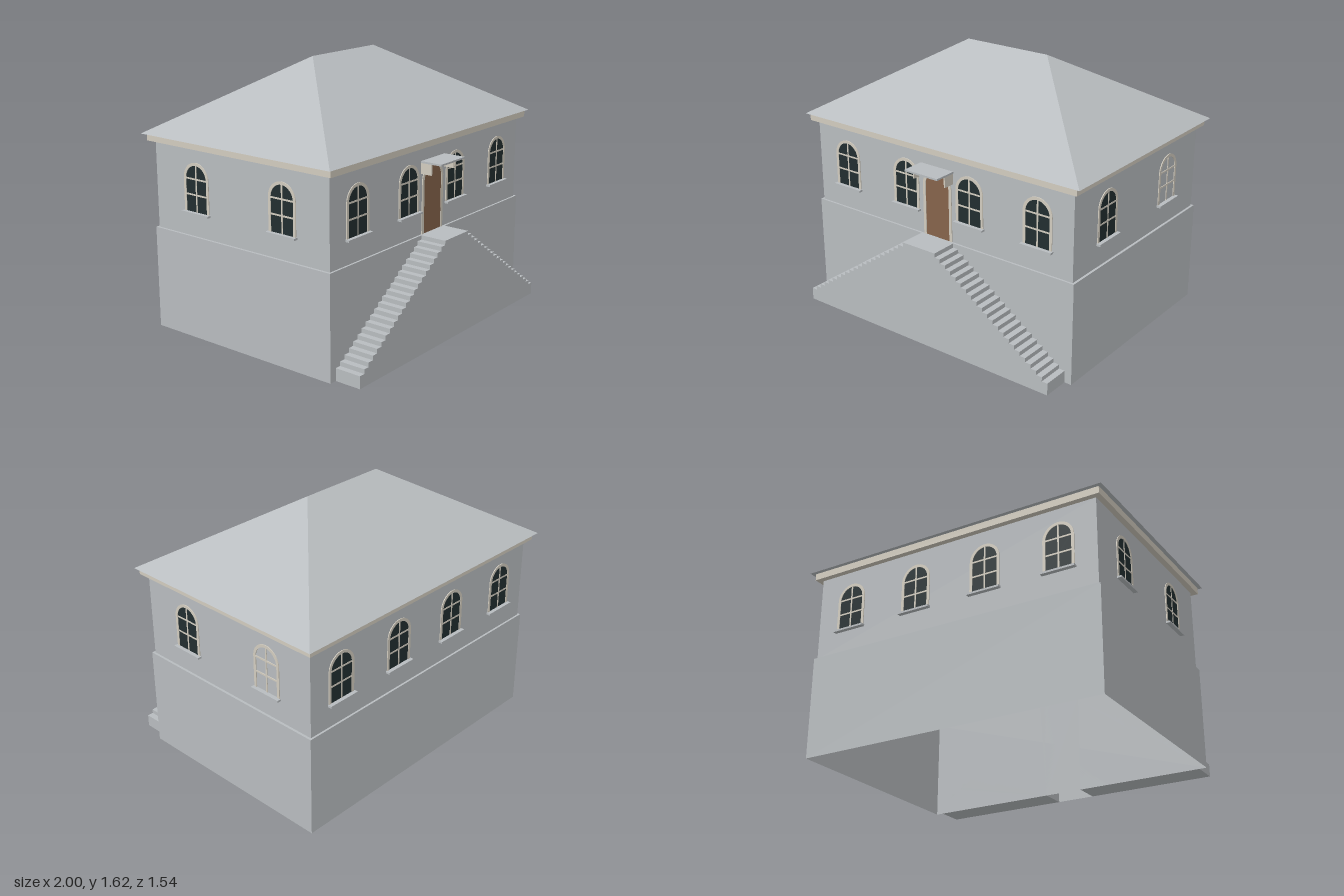
import * as THREE from 'three';

const mat = (name, color, side = THREE.FrontSide) => {
  const m = new THREE.MeshStandardMaterial({ color, side });
  m.name = name;
  return m;
};

const CZ = -0.06;                       // centre of the house in z
const HALF_X = 0.94, HALF_Z = 0.6525;   // upper wall half sizes
const BASE_TOP = 0.625, BASE_FRONT = 0.605;

export function createModel() {
  const house = new THREE.Group();
  house.name = 'house';
  const stone = mat('stoneGrey', 0xb8bcbf, THREE.DoubleSide);
  const cream = mat('creamTrim', 0xd2ccbf);
  const glass = mat('darkGlass', 0x222e30);
  const wood = mat('brownDoor', 0x86644b);

  const add = (parent, name, geo, material, x = 0, y = 0, z = 0) => {
    const m = new THREE.Mesh(geo, material);
    m.name = name;
    m.position.set(x, y, z);
    parent.add(m);
    return m;
  };
  // Box given by its limits; open leaves out the bottom face
  const box = (parent, name, material, x0, x1, y0, y1, z0, z1, open = false) => {
    const g = new THREE.BoxGeometry(x1 - x0, y1 - y0, z1 - z0);
    if (open) {
      const idx = Array.from(g.index.array);
      idx.splice(18, 6);
      g.setIndex(idx);
      g.clearGroups();
    }
    return add(parent, name, g, material, (x0 + x1) / 2, (y0 + y1) / 2, (z0 + z1) / 2);
  };
  const extrude = (shape, depth) =>
    new THREE.ExtrudeGeometry(shape, { depth, bevelEnabled: false, curveSegments: 16 });

  // Round-headed opening and the band around it, standing on y = 0
  const archShape = (r, spring) => {
    const s = new THREE.Shape();
    s.moveTo(-r, 0);
    s.lineTo(r, 0);
    s.lineTo(r, spring);
    s.absarc(0, spring, r, 0, Math.PI, false);
    s.lineTo(-r, 0);
    return s;
  };
  const bandShape = (R, r, spring) => {
    const s = new THREE.Shape();
    s.moveTo(r, 0);
    s.lineTo(R, 0);
    s.lineTo(R, spring);
    s.absarc(0, spring, R, 0, Math.PI, false);
    s.lineTo(-R, 0);
    s.lineTo(-r, 0);
    s.lineTo(-r, spring);
    s.absarc(0, spring, r, Math.PI, 0, true);
    s.lineTo(r, 0);
    return s;
  };

  // Masonry: hollow base and upper storey
  box(house, 'base', stone, -0.955, 0.955, 0, BASE_TOP, -0.725, BASE_FRONT, true);
  box(house, 'upperWalls', stone, -HALF_X, HALF_X, BASE_TOP, 1.15, CZ - HALF_Z, CZ + HALF_Z, true);
  box(house, 'cornice', cream, -0.975, 0.975, 1.15, 1.192, CZ - 0.687, CZ + 0.69);

  // Hipped roof: a box whose top is drawn in to the ridge
  const roofGeo = new THREE.BoxGeometry(2, 0.433, 1.416).toNonIndexed();
  const p = roofGeo.attributes.position;
  for (let i = 0; i < p.count; i++) {
    if (p.getY(i) > 0) {
      p.setX(i, Math.sign(p.getX(i)) * 0.29);
      p.setZ(i, 0);
    }
  }
  roofGeo.computeVertexNormals();
  add(house, 'roof', roofGeo, stone, 0, 1.192 + 0.2165, -0.063);

  // Windows
  const frameGeo = extrude(bandShape(0.0975, 0.08, 0.197), 0.005);
  const paneGeo = extrude(archShape(0.082, 0.197), 0.002);
  const makeWindow = (name, x, z, turn, glazed = true) => {
    const w = new THREE.Group();
    w.name = name;
    w.position.set(x, 0.77, z);
    w.rotation.y = turn;
    add(w, 'windowFrame', frameGeo, cream);
    if (glazed) add(w, 'windowPane', paneGeo, glass);
    box(w, 'mullion', cream, -0.005, 0.005, 0, 0.277, 0, 0.004);
    for (const y of [0.104, 0.197]) box(w, 'glazingBar', cream, -0.08, 0.08, y - 0.005, y + 0.005, 0, 0.004);
    box(w, 'windowSill', stone, -0.105, 0.105, -0.01, 0.002, 0, 0.026);
    house.add(w);
  };
  for (const x of [-0.705, -0.235, 0.235, 0.705]) {
    makeWindow('frontWindow', x, CZ + HALF_Z, 0);
    makeWindow('backWindow', x, CZ - HALF_Z, Math.PI);
  }
  for (const z of [0.265, -0.385]) {
    makeWindow('rightWindow', HALF_X, z, Math.PI / 2, z > 0);
    makeWindow('leftWindow', -HALF_X, z, -Math.PI / 2);
  }

  // Door with its canopy
  const front = CZ + HALF_Z;
  add(house, 'doorFrame', extrude(bandShape(0.105, 0.086, 0.315), 0.005), cream, 0, BASE_TOP, front);
  add(house, 'door', extrude(archShape(0.088, 0.315), 0.002), wood, 0, BASE_TOP, front);
  box(house, 'canopy', stone, -0.12, 0.12, 1.055, 1.066, front, 0.733);
  for (const s of [-1, 1]) {
    box(house, 'canopyBracket', cream, s * 0.114 - 0.004, s * 0.114 + 0.004, 0.99, 1.055, front, 0.665);
  }

  // Landing and twin flights of stairs
  const zEnd = 0.77, steps = 21, x0 = 0.12, x1 = 0.91;
  box(house, 'landing', stone, -x0, x0, 0, BASE_TOP, BASE_FRONT, zEnd, true);
  for (const s of [-1, 1]) {
    const flight = new THREE.Shape();
    flight.moveTo(s * x0, 0);
    flight.lineTo(s * x1, 0);
    for (let i = 0; i < steps; i++) {
      const y = 0.075 + i * 0.0262, tread = (x1 - x0) / steps;
      flight.lineTo(s * (x1 - i * tread), y);
      flight.lineTo(s * (x1 - (i + 1) * tread), y);
    }
    add(house, s > 0 ? 'leftStairs' : 'rightStairs', extrude(flight, zEnd - BASE_FRONT), stone, 0, 0, BASE_FRONT);
  }
  return house;
}
